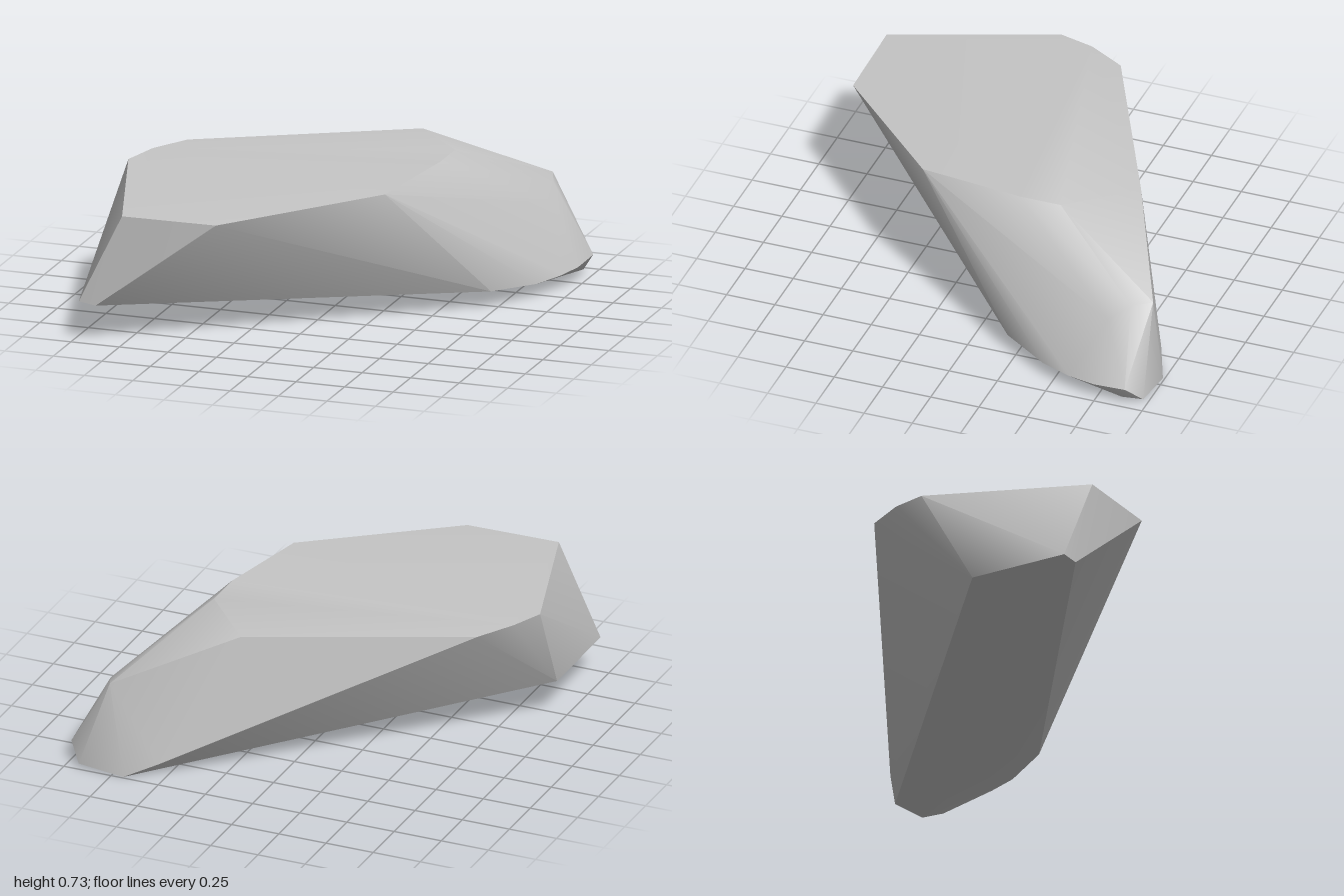
import * as THREE from 'three';
import { ConvexGeometry } from 'three/addons/geometries/ConvexGeometry.js';
import { toCreasedNormals } from 'three/addons/utils/BufferGeometryUtils.js';

export function createModel() {
  const stone = new THREE.MeshStandardMaterial({ color: 0xc6c6c6 });
  stone.name = 'pale stone grey';

  // broad, gently sloping top face
  const top = [
    [-1, 0.69, 0.18], [-0.94, 0.7, 0], [-0.83, 0.7, -0.19],
    [-0.74, 0.66, 0.99], [-0.26, 0.66, 0.98], [0.39, 0.71, 0.37],
    [0.48, 0.73, -0.17], [0.48, 0.73, -0.38], [0.2, 0.72, -0.69],
  ];
  // sloping shoulder at the back corner
  const shoulder = [
    [0.77, 0.48, -0.97], [0.81, 0.46, -0.87], [0.86, 0.39, -0.77],
  ];
  // rounded lower rim on the left side
  const rim = [
    [0.73, 0.09, -0.2], [0.88, 0.075, -0.44], [0.95, 0.08, -0.6],
    [0.985, 0.085, -0.74], [1, 0.1, -0.91],
  ];
  // tilted underside, lowest at the back
  const underside = [
    [-0.97, 0.2, 0.97], [-0.88, 0.19, 0.98], [-0.97, 0.2, 0.45],
    [0.5, 0.03, -0.5], [0.53, 0.07, -0.92], [0.69, 0, -0.99],
    [0.78, 0.01, -0.75], [0.93, 0.02, -0.98], [0.96, 0.03, -0.88],
  ];

  // wrap the corners in a hull; soften shallow edges, keep strong ones sharp
  const points = [...top, ...shoulder, ...rim, ...underside]
    .map((p) => new THREE.Vector3(...p));
  const geometry = toCreasedNormals(new ConvexGeometry(points), 0.7);

  const rock = new THREE.Mesh(geometry, stone);
  rock.name = 'rock';
  const group = new THREE.Group();
  group.name = 'boulder';
  group.add(rock);
  return group;
}
